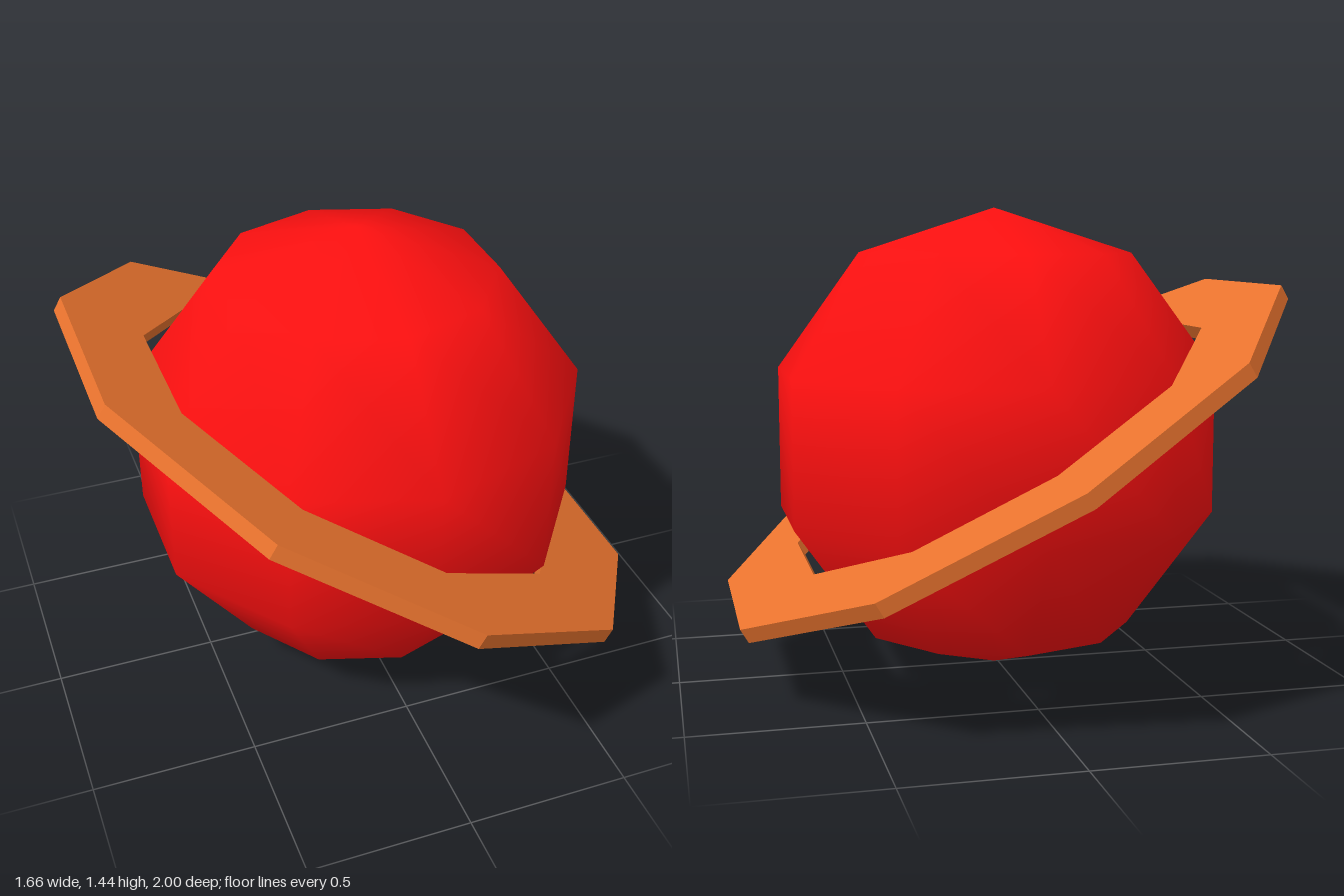
import * as THREE from 'three';

export function createModel() {
  const model = new THREE.Group();

  // Smooth-shaded low-poly globe, with a row of vertices along +z and -z
  const globe = new THREE.Mesh(
    new THREE.SphereGeometry(0.719, 10, 5).rotateY(Math.PI / 2),
    new THREE.MeshStandardMaterial({ color: 0xff1010 })
  );
  globe.name = 'planetGlobe';
  globe.position.set(0.012, 0.72, 0);
  model.add(globe);

  // Flat ten-sided ring: a closed rectangular section turned around y
  const outer = 1, inner = 0.73, half = 0.0235;
  const section = [
    [outer, -half], [outer, half], [inner, half], [inner, -half], [outer, -half],
  ].map(([x, y]) => new THREE.Vector2(x, y));
  const ring = new THREE.Mesh(
    new THREE.LatheGeometry(section, 10),
    new THREE.MeshStandardMaterial({ color: 0xe9732e, flatShading: true })
  );
  ring.name = 'planetRing';
  ring.position.set(0, 0.702, 0);
  ring.rotation.z = THREE.MathUtils.degToRad(-30.5); // high on the -x side
  model.add(ring);

  return model;
}
